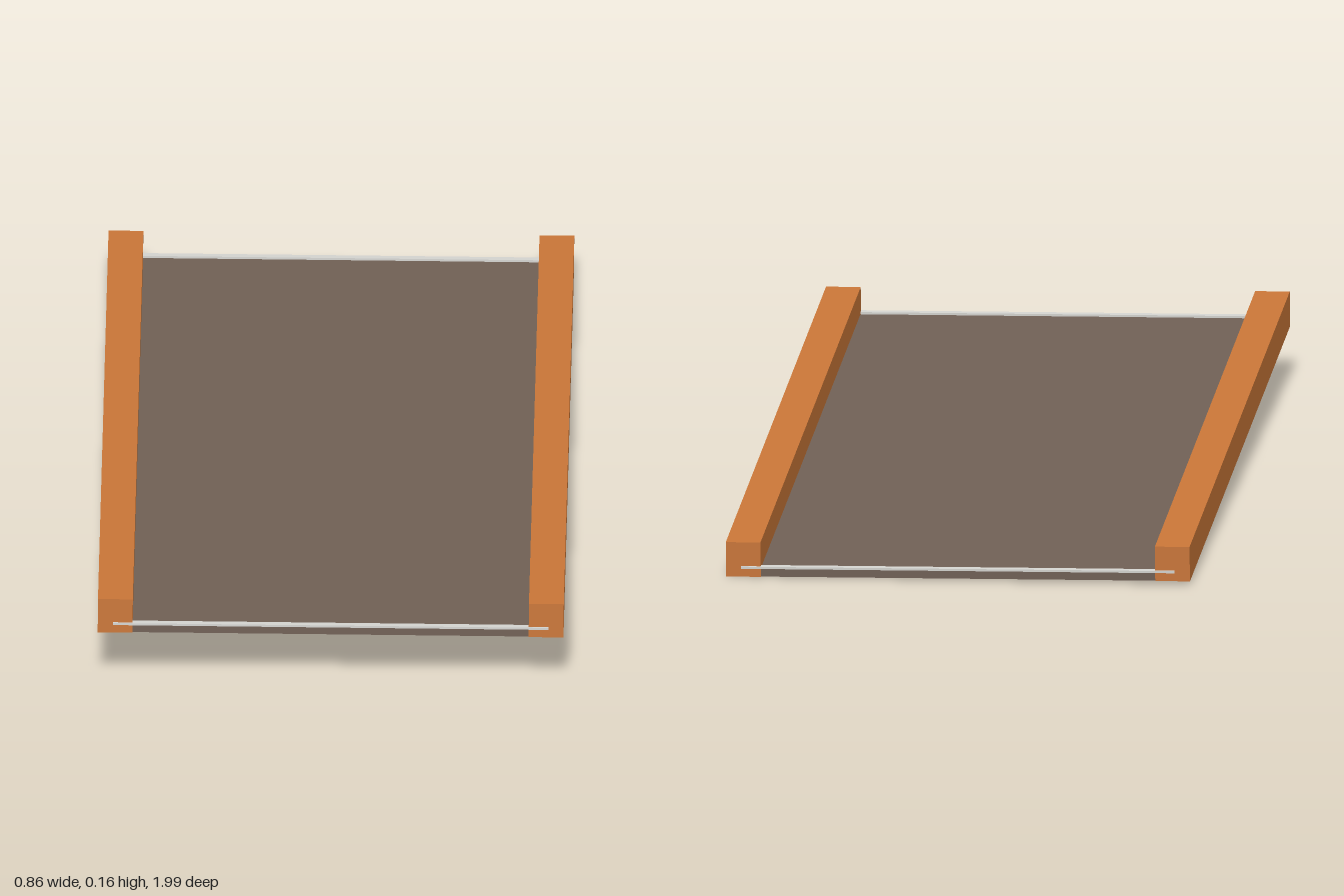
import * as THREE from 'three';

export function createModel() {
  const orange = new THREE.MeshStandardMaterial({ color: 0xc97638 });
  orange.name = 'orange wood';
  const brown = new THREE.MeshStandardMaterial({ color: 0x706055 });
  brown.name = 'brown deck';
  const pale = new THREE.MeshStandardMaterial({ color: 0xd4d4d0 });
  pale.name = 'pale trim';

  const model = new THREE.Group();
  model.name = 'ramp';

  // Box standing on a given base height
  function addBox(name, size, x, base, z, material) {
    const mesh = new THREE.Mesh(new THREE.BoxGeometry(...size), material);
    mesh.name = name;
    mesh.position.set(x, base + size[1] / 2, z);
    model.add(mesh);
  }

  // Deck, running a little way under each rail
  addBox('deck', [0.8, 0.0165, 1.975], 0, -0.0005, 0, brown);

  for (const side of [-1, 1]) {
    // Side rails
    addBox(side > 0 ? 'leftRail' : 'rightRail', [0.064, 0.065, 1.984], side * 0.396, 0, 0, orange);
    // Thin strips across the deck ends
    addBox(side > 0 ? 'frontStrip' : 'backStrip', [0.8, 0.004, 0.015], 0, 0.016, side * 0.989, pale);
  }

  // The ramp slopes down to the back and leans slightly to its left
  model.rotation.set(-0.0424, 0, -0.008);
  model.position.set(0, 0.0475, 0);

  const root = new THREE.Group();
  root.name = 'rampRoot';
  root.add(model);
  return root;
}
